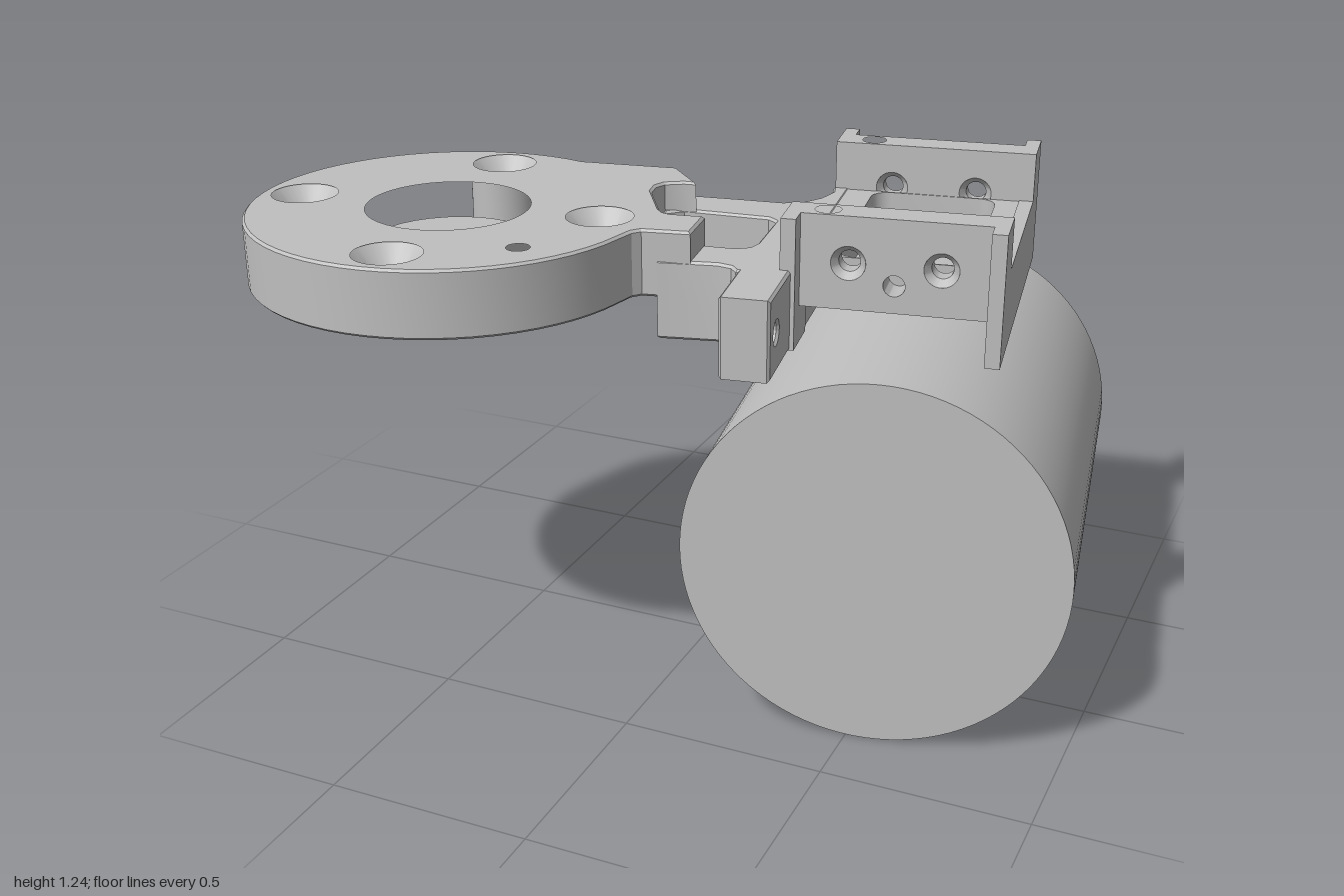
import * as THREE from 'three';
import { toCreasedNormals } from 'three/addons/utils/BufferGeometryUtils.js';

const grey = new THREE.MeshStandardMaterial({ color: 0xbfbfbf });
grey.name = 'light grey';
const greyOpen = new THREE.MeshStandardMaterial({ color: 0xbfbfbf, side: THREE.DoubleSide });
greyOpen.name = 'light grey';

function add(parent, name, geometry, material = grey) {
  const mesh = new THREE.Mesh(geometry, material);
  mesh.name = name;
  parent.add(mesh);
  return mesh;
}

// Box given by its limits on each axis
function box(parent, name, x0, x1, y0, y1, z0, z1) {
  const g = new THREE.BoxGeometry(x1 - x0, y1 - y0, z1 - z0);
  g.translate((x0 + x1) / 2, (y0 + y1) / 2, (z0 + z1) / 2);
  return add(parent, name, g);
}

function extrude(points, holes, depth, bevel) {
  const shape = new THREE.Shape(points.map(([x, y]) => new THREE.Vector2(x, y)));
  for (const [x, y, r] of holes) shape.holes.push(new THREE.Path().absarc(x, y, r, 0, Math.PI * 2, true));
  const g = new THREE.ExtrudeGeometry(shape, {
    depth: depth - 2 * bevel, curveSegments: 24, bevelEnabled: bevel > 0,
    bevelSize: bevel, bevelThickness: bevel, bevelOffset: -bevel, bevelSegments: 1,
  });
  g.translate(0, 0, bevel);
  return toCreasedNormals(g, 0.4);
}

// Horizontal plate from an outline of [x, z] points and [x, z, r] holes
function plate(parent, name, outline, holes, y0, y1, bevel = 0) {
  const g = extrude(outline.map(([x, z]) => [x, -z]), holes.map(([x, z, r]) => [x, -z, r]), y1 - y0, bevel);
  g.rotateX(-Math.PI / 2).translate(0, y0, 0);
  return add(parent, name, g);
}

const rect = (x0, x1, y0, y1) => [[x0, y0], [x1, y0], [x1, y1], [x0, y1]];

function arc(cx, cz, r, a0, a1, n) {
  return Array.from({ length: n + 1 }, (_, i) => {
    const a = a0 + (a1 - a0) * i / n;
    return [cx + r * Math.cos(a), cz + r * Math.sin(a)];
  });
}

// Conical liner for a hole; the profile is a list of [radius, height]
function liner(profile) {
  const g = new THREE.LatheGeometry(profile.map(([r, y]) => new THREE.Vector2(r, y)), 32);
  return toCreasedNormals(g, 0.4);
}

function createModel() {
  const model = new THREE.Group();
  model.name = 'bracketAssembly';

  // Everything aligned with the motor lives in this turned frame
  const frame = new THREE.Group();
  frame.name = 'turnedFrame';
  frame.position.set(0.46, 0, -0.205);
  frame.rotation.y = 0.166;
  model.add(frame);

  // Large horizontal cylinder
  add(frame, 'motorCylinder',
    new THREE.CylinderGeometry(0.456, 0.456, 1.075, 96).rotateX(Math.PI / 2).translate(0, 0.456, 0));

  // Round plate with its neck
  const CX = -0.525, CZ = 0.325;
  const screws = [[-0.585, -0.04], [-0.16, 0.265], [-0.89, 0.385], [-0.46, 0.69]];
  const top = 1.19, bottom = 1.03;
  const diskOutline = [
    ...arc(CX, CZ, 0.475, 0.13, 4.95, 48),
    [-0.17, -0.18], [-0.07, -0.075], [-0.1, -0.07], [-0.14, -0.045], [-0.15, -0.015], [-0.14, 0.03],
    [-0.06, 0.155], [-0.04, 0.175], [-0.02, 0.18], [0.06, 0.165], [0.08, 0.29], [-0.03, 0.315], [-0.045, 0.335],
  ];
  plate(model, 'roundPlate', diskOutline,
    [[CX, 0.33, 0.2], ...screws.map(([x, z]) => [x, z, 0.085]), [-0.22, 0.54, 0.033]], bottom, top, 0.006);
  const plug = (name, x, z, r, y) =>
    add(model, name, new THREE.CylinderGeometry(r, r, y - bottom, 32).translate(x, (y + bottom) / 2, z));
  plug('recessFloor', CX, 0.33, 0.2, 1.1);
  const sink = liner([[0.09, top - 0.002], [0.05, top - 0.05], [0.05, 1.1]]);
  for (const [x, z] of screws) {
    plug('screwHoleFloor', x, z, 0.085, 1.1);
    add(model, 'countersink', sink, greyOpen).position.set(x, 0, z);
  }
  plug('pinHoleFloor', -0.22, 0.54, 0.033, 1.12);
  add(model, 'undersideBoss', new THREE.CylinderGeometry(0.33, 0.33, 0.012, 64).translate(CX, 1.026, CZ));

  // Lower arm, wrapped around the window and hollowed by the round boss
  plate(model, 'arm', [
    [0.208, -0.411], [0.167, -0.404], [0.18, -0.36], [0.17, -0.3], [0.145, -0.255], [0.1, -0.225], [0, -0.21],
    ...arc(CX, CZ, 0.53, -1.136, -0.745, 8),
    [-0.1, -0.07], [0.115, -0.092], [0.14, -0.075], [0.165, 0.1], [0.16, 0.135], [0.135, 0.155],
    ...arc(CX, CZ, 0.53, -0.28, -0.03, 6),
    [0.14, 0.275], [0.175, 0.28], [0.195, 0.3], [0.31, 0.28], [0.305, 0.2],
  ], [], 0.93, 1.12, 0.006);

  // Tab with a cross hole
  const tab = extrude(rect(0.4, 0.635, 0.93, 1.12), [[0.57, 1.025, 0.025]], 0.115, 0.006);
  tab.rotateY(-Math.PI / 2).translate(-0.225, 0, 0);
  add(frame, 'tab', tab);

  // Web between the crossbars with a rounded window
  const window = [
    ...arc(0.115, 0.25, 0.045, 0, Math.PI / 2, 6), ...arc(-0.105, 0.25, 0.045, Math.PI / 2, Math.PI, 6),
    ...arc(-0.105, -0.19, 0.045, Math.PI, Math.PI * 1.5, 6), ...arc(0.115, -0.19, 0.045, Math.PI * 1.5, Math.PI * 2, 6),
  ];
  const webShape = new THREE.Shape(rect(-0.22, 0.22, -0.3, 0.24).map(([x, y]) => new THREE.Vector2(x, y)));
  webShape.holes.push(new THREE.Path(window.map(([x, z]) => new THREE.Vector2(x, -z))));
  const web = new THREE.ExtrudeGeometry(webShape, { depth: 0.098, bevelEnabled: false });
  add(frame, 'web', toCreasedNormals(web.rotateX(-Math.PI / 2).translate(0, 1.02, 0), 0.4));

  // Side rail
  box(frame, 'sideRail', 0.215, 0.25, 0.93, 1.12, -0.375, 0.43);

  // Crossbars with screw holes, each ending in two flanges
  const T = 0.08;
  const ring = liner([[0.04, 0], [0.025, 0.02], [0.025, T - 0.02], [0.04, T]]).rotateX(Math.PI / 2);
  for (const [z, f0, f1] of [[-0.318, -0.375, -0.238], [0.297, 0.297, 0.43]]) {
    const bar = extrude(rect(-0.22, 0.22, 1.02, 1.2),
      [[-0.105, 1.13, 0.04], [0.105, 1.13, 0.04], [0, 1.085, 0.025]], T, 0);
    add(frame, 'crossbar', bar.translate(0, 0, z));
    plate(frame, 'crossbarCap', rect(-0.22, 0.22, z, z + T), [[-0.16, z + T / 2, 0.03]], 1.2, 1.24);
    for (const s of [-1, 1]) {
      add(frame, 'screwHole', ring, greyOpen).position.set(s * 0.105, 1.13, z);
      box(frame, 'flange', s * 0.2325 - 0.0175, s * 0.2325 + 0.0175, 0.93, 1.24, f0, f1);
    }
  }
  return model;
}

export { createModel };
